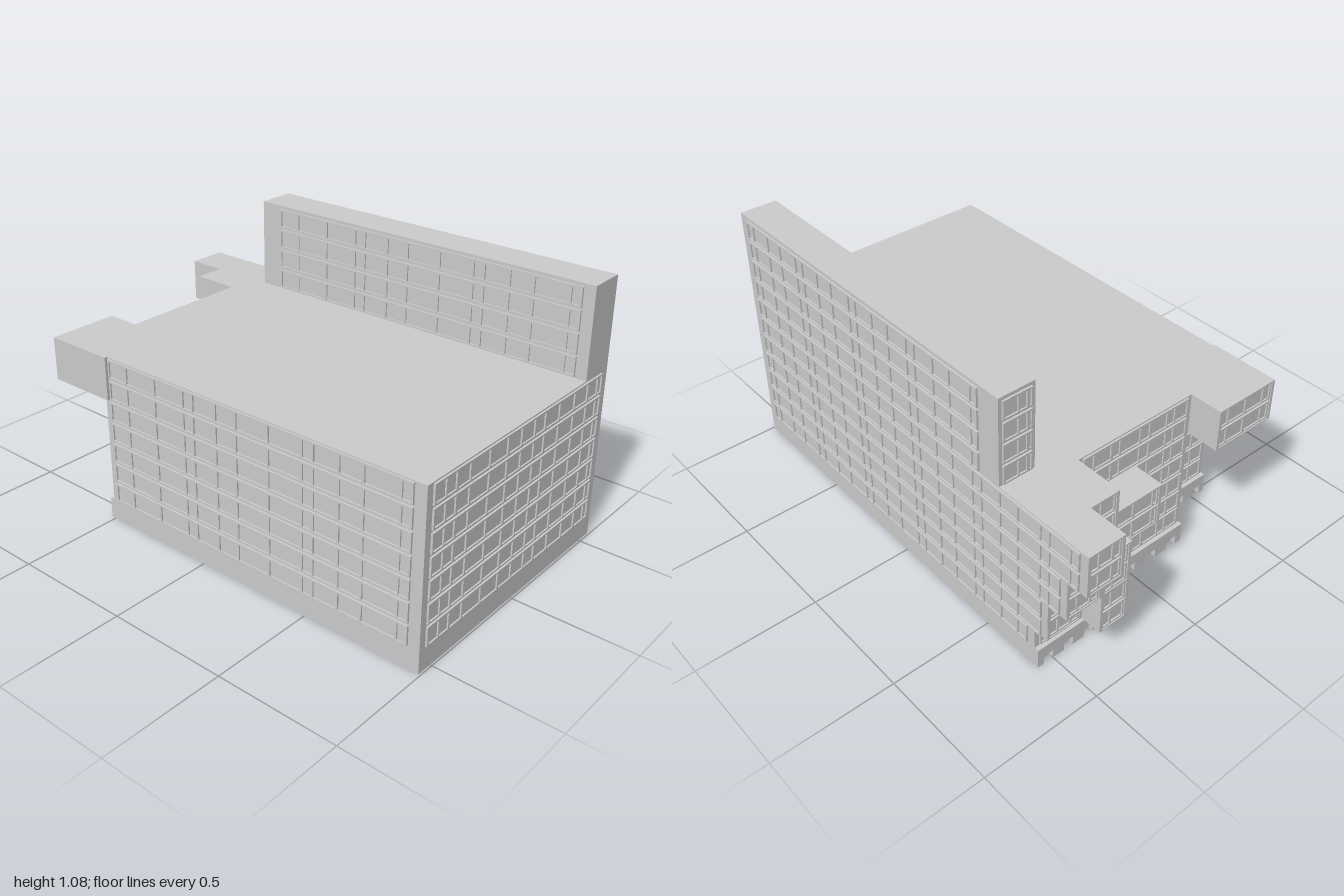
import * as THREE from 'three';
import { mergeGeometries } from 'three/addons/utils/BufferGeometryUtils.js';

const BASE = 0.09, PITCH = 0.0893;              // ground floor height, storey height
const floorY = (k) => BASE + PITCH * k;
const mat = new THREE.MeshStandardMaterial({ color: 0xcccccc });

function boxGeo(x0, x1, y0, y1, z0, z1) {
  return new THREE.BoxGeometry(x1 - x0, y1 - y0, z1 - z0)
    .translate((x0 + x1) / 2, (y0 + y1) / 2, (z0 + z1) / 2);
}

function add(parent, name, geo) {
  const mesh = new THREE.Mesh(geo, mat);
  mesh.name = name;
  parent.add(mesh);
  return mesh;
}

const block = (parent, name, ...b) => add(parent, name, boxGeo(...b));

// Mullion positions from 0 to width, cycling through a list of bay widths
function bays(width, steps) {
  const out = [];
  for (let x = steps[0], i = 1; x < width - 0.02; x += steps[i++ % steps.length]) out.push(x);
  return out;
}

// One storey-high ribbon of glazing in local axes: x along, y up, z outward
function ribbonGeo(width, mullions) {
  const h = 0.079, t = 0.007, d = 0.008;
  const parts = [
    boxGeo(0, width, 0, h, -0.002, 0.002),
    boxGeo(0, width, 0, t, 0, d),
    boxGeo(0, width, h - t, h, 0, d),
    boxGeo(0, t, 0, h, 0, d),
    boxGeo(width - t, width, 0, h, 0, d),
  ];
  mullions.forEach((x, i) => {
    const w = i % 3 === 1 ? 0.010 : 0.006;
    parts.push(boxGeo(x - w / 2, x + w / 2, 0, h, 0, d));
  });
  return mergeGeometries(parts);
}

// Stack ribbons on a wall; (x, z) is the left end as seen from outside
function ribbons(parent, name, x, z, angle, width, k0, k1, mullions) {
  const geo = ribbonGeo(width, mullions);
  for (let k = k0; k < k1; k++) {
    const m = add(parent, name, geo);
    m.position.set(x, floorY(k) + 0.005, z);
    m.rotation.y = angle;
  }
}
const RIGHT_SIDE = -Math.PI / 2, LEFT_SIDE = Math.PI / 2, BACK = Math.PI;

// Back-facing ribbons between x0 and x1
function backRibbons(parent, x0, x1, z, k0, k1, steps = [0.05, 0.085, 0.04, 0.1]) {
  const w = x1 - x0;
  ribbons(parent, 'backWindows', x1, z, BACK, w, k0, k1, bays(w, steps));
}

// Projecting two-storey bay with a rim around recessed glazing
function pod(parent, x0, x1, k, zBack, zIn) {
  const y0 = floorY(k), y1 = floorY(k + 2), r = 0.012, d = 0.012;
  const g = new THREE.Group();
  g.name = 'projectingBay';
  parent.add(g);
  block(g, 'bayBody', x0, x1, y0, y1, zBack + d, zIn);
  const s = new THREE.Shape([
    [x0, y0], [x1, y0], [x1, y1], [x0, y1],
  ].map((p) => new THREE.Vector2(...p)));
  s.holes.push(new THREE.Path([
    [x0 + r, y0 + 0.005], [x0 + r, y1 - 0.005], [x1 - r, y1 - 0.005], [x1 - r, y0 + 0.005],
  ].map((p) => new THREE.Vector2(...p))));
  const rim = new THREE.ExtrudeGeometry(s, { depth: d, bevelEnabled: false });
  add(g, 'bayRim', rim.translate(0, 0, zBack));
  const w = x1 - x0 - 2 * r;
  backRibbons(g, x0 + r, x1 - r, zBack + d, k, k + 2, w > 0.2 ? [0.04, 0.095, 0.095] : [0.04, 0.06]);
}

// Ground-floor wall plate with doorway notches along its foot
function arcade(parent, x0, x1, z, doors) {
  const pts = [[x0, 0]], step = (x1 - x0) / doors;
  for (let i = 0; i < doors; i++) {
    const a = x0 + step * (i + 0.28), b = x0 + step * (i + 0.72);
    pts.push([a, 0], [a, 0.04], [b, 0.04], [b, 0]);
  }
  pts.push([x1, 0], [x1, 0.087], [x0, 0.087]);
  const shape = new THREE.Shape(pts.map((p) => new THREE.Vector2(...p)));
  const geo = new THREE.ExtrudeGeometry(shape, { depth: 0.02, bevelEnabled: false });
  add(parent, 'groundArcade', geo.translate(0, 0, z - 0.02));
}

export function createModel() {
  const model = new THREE.Group();
  model.name = 'officeBuilding';
  const top = floorY(7), xl = -0.566, xr = 0.571, zf = 0.992;

  // Main volumes
  block(model, 'mainBlock', xl, xr, 0, top, -0.5, zf);
  block(model, 'backCentre', -0.28, xr, 0, top, -0.64, -0.45);
  block(model, 'backWing', 0.28, xr, 0, floorY(6), -0.755, -0.6);
  block(model, 'towerSlab', 0.415, xr, 0, 1.08, -0.57, zf);

  // Projecting bays on the back
  pod(model, 0.41, xr, 1, -0.82, -0.6);
  pod(model, 0.28, 0.41, 1, -0.91, -0.6);
  pod(model, 0.28, 0.41, 3, -0.91, -0.6);
  pod(model, 0.41, xr, 3, -0.91, -0.6);
  pod(model, 0.41, xr, 5, -1.0, -0.6);
  pod(model, 0.28, 0.41, 5, -0.84, -0.6);
  pod(model, 0, 0.28, 3, -0.78, -0.6);
  pod(model, -0.577, -0.28, 5, -0.78, -0.48);

  // Ground floor at the back
  arcade(model, xl, -0.28, -0.5, 3);
  arcade(model, -0.28, 0.28, -0.64, 5);
  arcade(model, 0.28, xr, -0.755, 3);

  // Front glazing
  ribbons(model, 'frontWindows', -0.535, zf, 0, 1.065, 0, 7,
    [0.065, 0.125, 0.2, 0.315, 0.425, 0.51, 0.595, 0.665, 0.76, 0.865, 0.96, 1.03]);

  // Right side glazing, reaching further back where the bays project
  const rightEnds = [-0.72, -0.79, -0.79, -0.88, -0.88, -0.965, -0.965, -0.47, -0.47, -0.47, -0.47];
  rightEnds.forEach((end, k) => {
    const w = 0.945 - end;
    ribbons(model, 'rightWindows', xr, 0.945, LEFT_SIDE, w, k, k + 1, bays(w, [0.045, 0.1, 0.09, 0.11]));
  });

  // Left side glazing and the slab's inner face above the roof
  const sideBays = bays(1.415, [0.1, 0.15, 0.15, 0.05, 0.11]);
  ribbons(model, 'leftWindows', xl, -0.47, RIGHT_SIDE, 1.415, 0, 7, sideBays);
  ribbons(model, 'slabInnerWindows', 0.415, -0.47, RIGHT_SIDE, 1.415, 7, 11, sideBays);

  // Back glazing on the flat walls
  backRibbons(model, xl + 0.02, -0.3, -0.5, 0, 5);
  backRibbons(model, -0.26, 0.26, -0.64, 0, 7);
  backRibbons(model, 0.3, xr - 0.02, -0.755, 0, 1);
  backRibbons(model, 0.43, xr - 0.015, -0.57, 7, 11, [0.065, 0.04]);

  return model;
}
